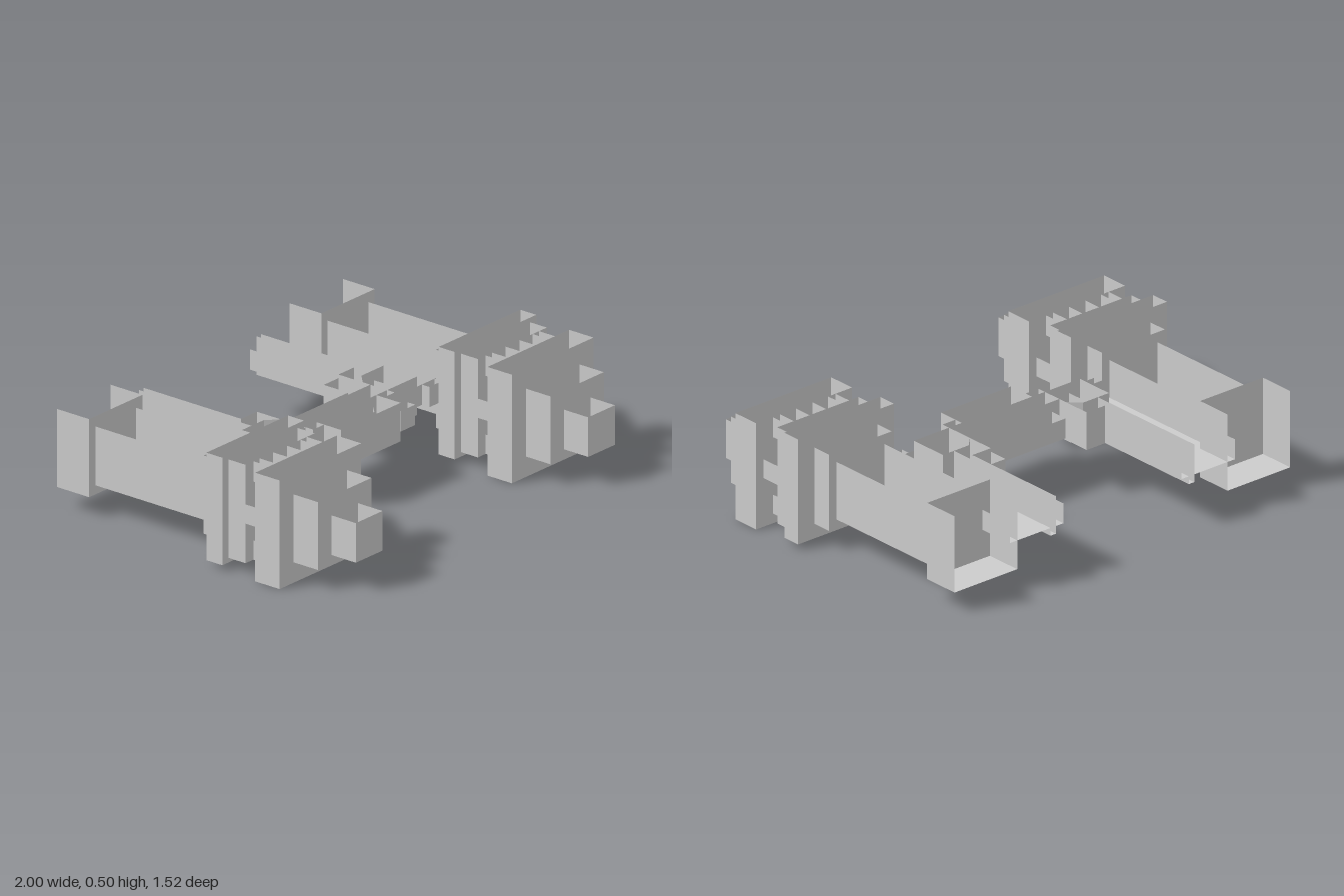
import * as THREE from 'three';

const material = new THREE.MeshStandardMaterial({ color: 0xcccccc, flatShading: true, side: THREE.DoubleSide });
const REAR = -0.76;

// Tray without a lid: a floor plus a wall along each outline edge [x, z]; open at the rear end
function tray(name, outline, y0, y1) {
  const pos = [];
  const pts = outline.map(([x, z]) => new THREE.Vector2(x, z));
  if (THREE.ShapeUtils.isClockWise(pts)) pts.reverse();
  const put = (p, y) => pos.push(p.x, y, p.y);
  for (const tri of THREE.ShapeUtils.triangulateShape(pts, [])) tri.forEach(i => put(pts[i], y0));
  pts.forEach((a, i) => {
    const b = pts[(i + 1) % pts.length];
    if (a.y === REAR && b.y === REAR) return;
    put(a, y0); put(a, y1); put(b, y0);
    put(b, y0); put(a, y1); put(b, y1);
  });
  const geo = new THREE.BufferGeometry();
  geo.setAttribute('position', new THREE.Float32BufferAttribute(pos, 3));
  geo.computeVertexNormals();
  const mesh = new THREE.Mesh(geo, material);
  mesh.name = name;
  return mesh;
}

const box = (name, x0, x1, y0, y1, z0, z1) =>
  tray(name, [[x0, z0], [x1, z0], [x1, z1], [x0, z1]], y0, y1);

// One pod, with s = 1 for the left side and -1 for the right
function pod(s) {
  const g = new THREE.Group();
  g.name = s > 0 ? 'leftPod' : 'rightPod';
  const cx = 0.74 * s;
  // name, half width, y range, z range
  [
    ['rearCollar', 0.17, 0.09, 0.435, REAR, -0.59],
    ['podBody', 0.13, 0.13, 0.39, -0.59, 0.02],
    ['innerCollar', 0.17, 0.09, 0.435, 0.02, 0.11],
    ['rearFlange', 0.26, 0.025, 0.5, 0.11, 0.195],
    ['grilleBase', 0.22, 0.045, 0.48, 0.195, 0.285],
    ['frontFlange', 0.26, 0, 0.48, 0.37, 0.5],
    ['noseBlock', 0.17, 0.09, 0.39, 0.5, 0.63],
    ['noseTip', 0.085, 0.13, 0.305, 0.63, 0.76],
  ].forEach(([n, w, ...r]) => g.add(box(n, cx - w, cx + w, ...r)));

  // Grille prongs between the base and the front flange
  [[0.045, 0.13, 0.17], [0.22, 0.305, 0.22], [0.39, 0.48, 0.17]].forEach(([y0, y1, out]) => {
    [[-out, -0.13], [-0.045, 0.045], [0.13, out]].forEach(([a, b]) =>
      g.add(box('grilleProng', cx + a, cx + b, y0, y1, 0.285, 0.37)));
  });
  return g;
}

// Half of the frame that carries a pod
function frameSide(s) {
  const g = new THREE.Group();
  g.name = s > 0 ? 'leftFrame' : 'rightFrame';
  const flip = pts => pts.map(([x, z]) => [x * s, z]);
  const part = (n, pts, y0, y1) => g.add(tray(n, flip(pts), y0, y1));
  const block = (n, x0, x1, ...r) => part(n, [[x0, r[2]], [x1, r[2]], [x1, r[3]], [x0, r[3]]], r[0], r[1]);

  block('wing', 0.39, 0.61, 0.22, 0.31, REAR, 0.02);
  part('innerRail', [[0.32, REAR], [0.36, REAR], [0.36, -0.24], [0.26, -0.24],
    [0.26, -0.07], [0.22, -0.07], [0.22, -0.285], [0.32, -0.285]], 0.22, 0.31);
  part('outerRail', [[0.36, REAR], [0.39, REAR], [0.39, -0.16], [0.31, -0.16],
    [0.26, -0.11], [0.26, -0.24], [0.36, -0.24]], 0.185, 0.355);
  part('shoulder', [[0.26, -0.11], [0.31, -0.16], [0.45, -0.16], [0.45, 0.02], [0.26, 0.02]], 0.185, 0.355);
  block('sideTab', 0.48, 0.56, 0.22, 0.31, 0.02, 0.06);
  block('lowerTab', 0.3, 0.39, 0.17, 0.26, 0.02, 0.06);
  block('innerTab', 0.19, 0.26, 0.185, 0.355, 0.02, 0.06);

  // Slanted brace below the wing
  const brace = new THREE.Mesh(new THREE.BoxGeometry(0.04, 0.035, 0.14), material);
  brace.position.set(0.53 * s, 0.135, -0.22);
  brace.rotation.x = 0.42;
  brace.name = 'brace';
  g.add(brace);
  return g;
}

export function createModel() {
  const model = new THREE.Group();
  model.name = 'twinPodFrame';
  for (const s of [1, -1]) model.add(pod(s), frameSide(s));

  // Cross beam joining the two sides
  model.add(
    box('rearBeam', -0.22, 0.22, 0.22, 0.31, -0.155, -0.07),
    box('crossBeam', -0.26, 0.26, 0.185, 0.355, -0.07, 0.02),
    tray('beamWedge', [[-0.17, 0.02], [0.17, 0.02], [0.13, 0.06], [-0.13, 0.06]], 0.22, 0.31),
    box('frontBlock', -0.19, 0.19, 0.185, 0.355, 0.02, 0.15),
  );
  return model;
}
